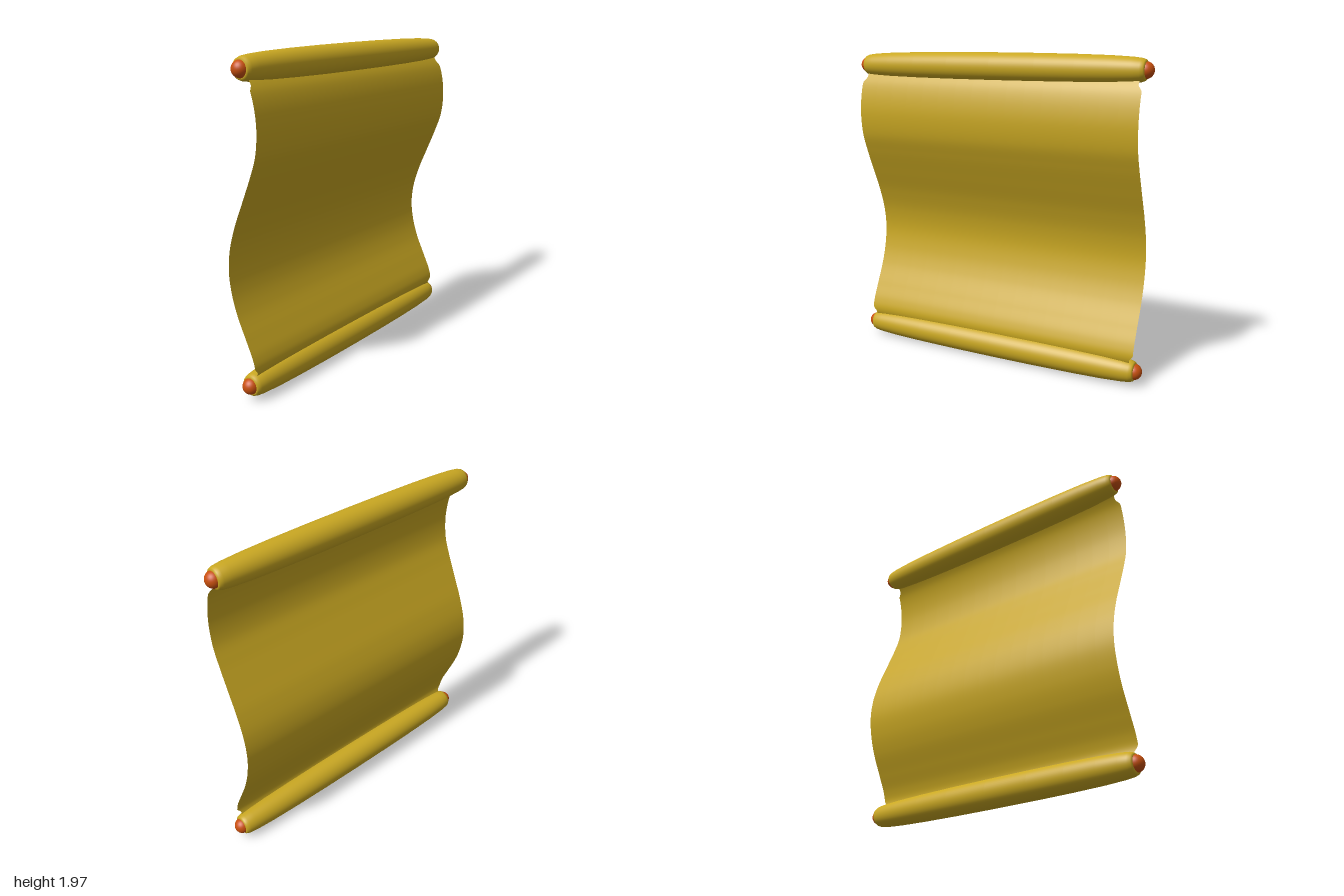
import * as THREE from 'three';

const gold = new THREE.MeshStandardMaterial({ color: 0xcaa822 });
const goldSheet = new THREE.MeshStandardMaterial({ color: 0xcaa822, side: THREE.DoubleSide });
const orange = new THREE.MeshStandardMaterial({ color: 0xc8500f });

function addMesh(parent, name, geometry, material) {
  const mesh = new THREE.Mesh(geometry, material);
  mesh.name = name;
  parent.add(mesh);
  return mesh;
}

// Barrel-shaped roller along x with a rounded knob at each end
function createRoller(name, y) {
  const roller = new THREE.Group();
  roller.name = name;
  roller.position.set(0, y, 0.02);

  const half = [[0, 0.089], [0.3, 0.088], [0.55, 0.085], [0.75, 0.08], [0.88, 0.073],
    [0.93, 0.067], [0.95, 0.06], [0.958, 0.05], [0.96, 0]];
  const profile = [
    ...half.slice(1).reverse().map(([x, r]) => new THREE.Vector2(r, -x)),
    ...half.map(([x, r]) => new THREE.Vector2(r, x)),
  ];
  const barrel = new THREE.LatheGeometry(profile, 48).rotateZ(-Math.PI / 2);
  addMesh(roller, 'barrel', barrel, gold);

  for (const side of [-1, 1]) {
    const knob = addMesh(roller, side > 0 ? 'leftKnob' : 'rightKnob',
      new THREE.SphereGeometry(0.049, 32, 20), orange);
    knob.position.x = side * 0.951;
  }
  return roller;
}

// Wavy sheet: an S-curve in y and z swept across x, pinched in beside the rollers
function createSheet() {
  const curve = new THREE.CatmullRomCurve3([
    [1.86, 0.03], [1.81, 0.065], [1.76, 0.09], [1.67, 0.113], [1.56, 0.122], [1.43, 0.107],
    [1.32, 0.068], [1.17, 0.003], [1.02, -0.062], [0.88, -0.106], [0.75, -0.12],
    [0.62, -0.103], [0.5, -0.066], [0.36, -0.002], [0.26, 0.043], [0.2, 0.058], [0.16, 0.052], [0.12, 0.03],
  ].map(([y, z]) => new THREE.Vector3(0, y, z)));

  const geometry = new THREE.PlaneGeometry(2, 1, 16, 160);
  const pos = geometry.attributes.position;
  for (let i = 0; i < pos.count; i++) {
    const p = curve.getPointAt(THREE.MathUtils.clamp(0.5 - pos.getY(i), 0, 1));
    const pinch = THREE.MathUtils.clamp(Math.max(p.y - 1.77, 0.2 - p.y) / 0.03, 0, 1);
    pos.setXYZ(i, pos.getX(i) * (0.953 - 0.025 * pinch), p.y, p.z);
  }
  geometry.computeVertexNormals();
  const sheet = new THREE.Mesh(geometry, goldSheet);
  sheet.name = 'sheet';
  return sheet;
}

export function createModel() {
  const model = new THREE.Group();
  model.name = 'scroll';
  model.add(createRoller('topRoller', 1.882), createRoller('bottomRoller', 0.092), createSheet());
  return model;
}
